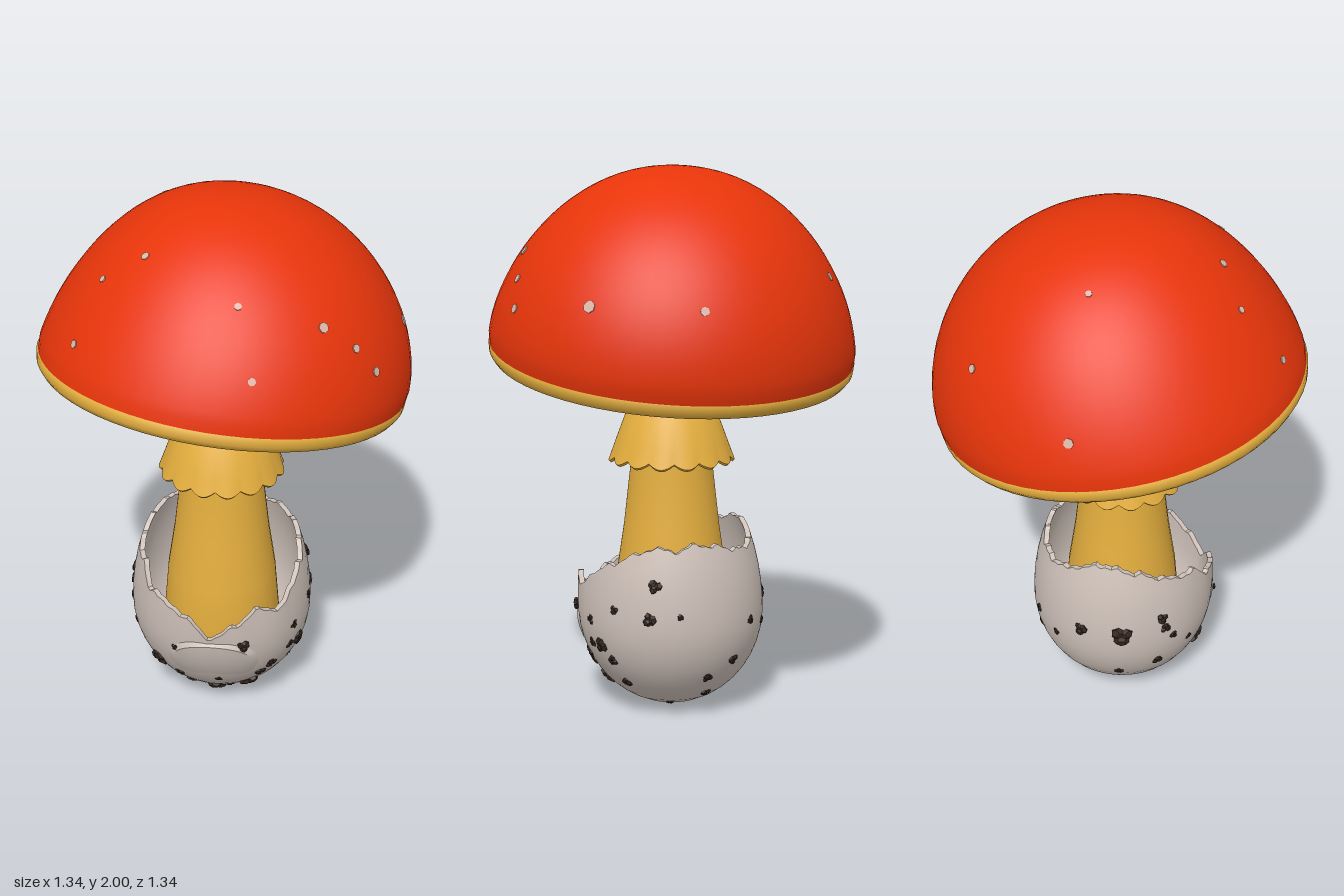
import * as THREE from 'three';
import { toCreasedNormals } from 'three/addons/utils/BufferGeometryUtils.js';

const mat = (name, color, side = THREE.FrontSide, flatShading = false) =>
  Object.assign(new THREE.MeshStandardMaterial({ color, side, flatShading }), { name });
const V2 = (r, y) => new THREE.Vector2(r, y);
const rad = THREE.MathUtils.degToRad;

// Grid surface closed around u; fn(u, v) returns [x, y, z], u and v in 0..1
function surface(fn, nu, nv, crease = 0.6) {
  const pos = [], idx = [];
  for (let j = 0; j <= nv; j++)
    for (let i = 0; i < nu; i++) pos.push(...fn(i / nu, j / nv));
  for (let j = 0; j < nv; j++)
    for (let i = 0; i < nu; i++) {
      const a = j * nu + i, b = j * nu + (i + 1) % nu;
      idx.push(a, b, b + nu, a, b + nu, a + nu);
    }
  const g = new THREE.BufferGeometry();
  g.setAttribute('position', new THREE.Float32BufferAttribute(pos, 3));
  g.setIndex(idx);
  return toCreasedNormals(g, crease);
}
const polar = (theta, r, y) => [r * Math.sin(theta), y, r * Math.cos(theta)];

// Cap dome: height above the rim plane at radius r, and its lean at mid height
const CAP_R = 0.67, CAP_H = 0.642, CAP_LIFT = 0.035;
const domeHeight = r => CAP_LIFT + CAP_H * Math.pow(Math.max(0, 1 - (r / CAP_R) ** 2.15), 0.62);
const lean = h => 0.17 * Math.max(0, h) * (CAP_H + CAP_LIFT - h);

// Cup: radius at height y, and torn rim height every 15 degrees from the front
const cupRadius = y => y < 0.36
  ? 0.342 * Math.sqrt(Math.max(0, 1 - ((0.36 - y) / 0.36) ** 2))
  : 0.342 - 0.58 * (y - 0.36) ** 2;
const RIM = [.39, .45, .50, .47, .54, .58, .62, .65, .64, .66, .65, .63,
  .62, .63, .66, .69, .68, .66, .63, .60, .59, .52, .50, .46];
function rimHeight(u) {
  const f = u * 24, i = Math.floor(f) % 24, t = f - Math.floor(f);
  const a = u * Math.PI * 2;
  return THREE.MathUtils.lerp(RIM[i], RIM[(i + 1) % 24], t * t * (3 - 2 * t))
    + 0.005 * Math.sin(17 * a) + 0.004 * Math.sin(41 * a);
}

export function createModel() {
  const root = new THREE.Group();
  const red = mat('cap red', 0xe8350a);
  const yellow = mat('stem yellow', 0xe4ae3e);
  const gillMat = mat('gill yellow', 0xe4c468, THREE.DoubleSide);
  const cupMat = mat('cup grey', 0xcdc0b8);
  const spotMat = mat('spot pale', 0xdcb5a6);
  const wartMat = mat('wart brown', 0x35261e, THREE.FrontSide, true);
  const add = (parent, name, geo, material) => {
    const m = new THREE.Mesh(geo, material);
    m.name = name;
    parent.add(m);
    return m;
  };

  // Tilted cap
  const cap = new THREE.Group();
  cap.name = 'cap';
  cap.position.y = 1.325;
  const up = new THREE.Vector3(0, 1, 0);
  cap.quaternion.setFromUnitVectors(up, new THREE.Vector3(0.12, 1, -0.14).normalize());
  root.add(cap);

  // Dome, leaning slightly at mid height
  add(cap, 'capDome', surface((u, v) => {
    const t = (1 - v) * Math.PI / 2, r = CAP_R * Math.sin(t);
    const h = v === 0 ? 0.016 : domeHeight(r);
    const [x, y, z] = polar(u * Math.PI * 2, v === 0 ? 0.666 : r, h);
    return [x + lean(h), y, z - 0.5 * lean(h)];
  }, 64, 24), red);

  const lip = [[.59, .03], [.604, -.012], [.625, -.032], [.652, -.032], [.666, -.012], [.669, .018], [.65, .035]];
  add(cap, 'capLip', new THREE.LatheGeometry(lip.map(p => V2(...p)), 64), yellow);

  // Underside and radial gills
  const under = [[.1, .1], [.25, .085], [.45, .05], [.61, .005]];
  add(cap, 'capUnderside', new THREE.LatheGeometry(under.map(p => V2(...p)), 64), gillMat);
  const fin = new THREE.Shape();
  fin.moveTo(0.12, 0.042);
  fin.quadraticCurveTo(0.4, 0.045, 0.608, -0.022);
  fin.lineTo(0.615, 0.01);
  fin.lineTo(0.45, 0.06);
  fin.lineTo(0.12, 0.11);
  const finGeo = new THREE.ExtrudeGeometry(fin, { depth: 0.008, bevelEnabled: false, curveSegments: 5 });
  finGeo.translate(0, 0, -0.004);
  const gills = new THREE.Group();
  gills.name = 'gills';
  cap.add(gills);
  for (let i = 0; i < 80; i++)
    add(gills, 'gill', finGeo, gillMat).rotation.y = (i / 80) * Math.PI * 2;

  // Small pale spots on the cap: x, z, size
  const spots = [
    [-.38, .26, .013], [-.23, .27, .015], [-.23, -.24, .012], [.10, .45, .013], [.38, .39, .019],
    [.49, .35, .016], [-.46, .38, .015], [-.06, -.60, .016], [.16, .585, .014], [.645, -.03, .022],
    [.52, -.40, .016], [-.46, -.43, .018], [.56, .32, .017]];
  const zAxis = new THREE.Vector3(0, 0, 1);
  for (const [x, z, size] of spots) {
    let h = 0.4, px = x, pz = z, r = 0;
    for (let k = 0; k < 5; k++) {
      px = x - 0.12 * h - lean(h);
      pz = z + 0.14 * h + 0.5 * lean(h);
      r = Math.hypot(px, pz);
      const s = Math.min(1, 0.655 / r);
      px *= s; pz *= s; r *= s;
      h = domeHeight(r);
    }
    const slope = (domeHeight(r - 0.005) - domeHeight(r + 0.005)) / 0.01;
    const n = new THREE.Vector3(px / r * slope, 1, pz / r * slope).normalize();
    const spot = add(cap, 'capSpot', new THREE.CylinderGeometry(size, size, 0.006, 7), spotMat);
    spot.position.set(px + lean(h), h, pz - 0.5 * lean(h));
    spot.quaternion.setFromUnitVectors(up, n);
  }

  // Stem
  const stem = [[0, .08], [.2, .1], [.222, .3], [.205, .5], [.178, .68], [.15, .93], [.142, 1.15], [.136, 1.44]];
  add(root, 'stem', new THREE.LatheGeometry(stem.map(p => V2(...p)), 32), yellow);

  // Skirt with scalloped edge: inner wall down, then outer wall up
  const skirtPath = [[.135, 1.14], [.185, 1.0], [.210, .945], [.222, .928], [.230, .935], [.208, .995], [.156, 1.135], [.14, 1.155]];
  add(root, 'skirt', surface((u, v) => {
    const a = u * Math.PI * 2, [r, y] = skirtPath[Math.round(v * 7)];
    const edge = THREE.MathUtils.clamp((1.0 - y) / 0.07, 0, 1);
    const wave = Math.abs(Math.sin(7.5 * a));
    return polar(a, r + edge * (wave - 0.6) * 0.012, y - edge * (wave - 0.5) * 0.02);
  }, 120, 7, 0.8), yellow);

  // Torn cup: outer wall up to the rim, inner wall back down
  add(root, 'cup', surface((u, v) => {
    const row = Math.round(v * 29), outer = row < 15;
    const s = outer ? row / 14 : (29 - row) / 14;
    const a = u * Math.PI * 2, top = rimHeight(u);
    const y = top * (1 - Math.cos(s * Math.PI / 2)) * 0.6 + top * s * 0.4;
    const flare = 0.02 * Math.max(0, Math.cos(a)) * s ** 3;
    const r = cupRadius(y) + flare - (outer ? 0 : 0.02);
    return polar(a, Math.max(0, r), outer ? y : y + 0.015 * (1 - s));
  }, 144, 29), cupMat);

  // Loose flap lying over the front of the cup, merging into it below
  add(root, 'cupFlap', surface((u, v) => {
    const a = u * Math.PI * 2, k = 1 - v;
    const y = 0.25 + 0.135 * k * Math.sin(a);
    const lift = 0.028 * THREE.MathUtils.clamp((y - 0.17) / 0.2, -0.2, 1);
    return polar(0.55 * k * Math.cos(a), cupRadius(y) + lift * (v === 0 ? 0.2 : 1), y);
  }, 36, 6), cupMat);

  // Dark warts on the cup: angle from the front, height, size
  const warts = [
    [-90, .46, .024], [-68, .30, .016], [-46, .19, .042], [-28, .15, .022], [-23, .33, .013], [-32, .06, .024],
    [0, .07, .038], [4, .16, .016], [33, .10, .04], [19, .36, .025], [36, .17, .025], [43, .21, .027],
    [57, .27, .022], [58, .36, .023], [107, .52, .028], [80, .42, .019], [104, .40, .027], [67, .27, .032],
    [75, .22, .023], [79, .13, .023], [145, .16, .021], [123, .41, .013], [115, .03, .015], [175, .36, .018],
    [163, .22, .022], [153, .08, .021], [-117, .41, .044], [-144, .41, .028], [-88, .41, .022], [-82, .36, .018],
    [-164, .33, .016], [-119, .19, .02], [-92, .24, .022], [18, .04, .024]];
  const wartGeo = new THREE.DodecahedronGeometry(1, 0);
  warts.forEach(([deg, y, size], i) => {
    const a = rad(deg), r = cupRadius(y) + (Math.abs(deg) < 25 && y > 0.3 ? 0.022 : 0);
    const n = new THREE.Vector3(...polar(a, r, y - 0.36)).normalize();
    const cluster = new THREE.Group();
    cluster.name = 'wart';
    cluster.position.set(...polar(a, r, y));
    cluster.quaternion.setFromUnitVectors(zAxis, n);
    root.add(cluster);
    // Each wart is a few flattened lumps
    for (let k = 0; k < 3; k++) {
      const t = i * 1.7 + k * 2.1;
      const lump = add(cluster, 'wartLump', wartGeo, wartMat);
      lump.position.set(Math.cos(t) * size * 0.4, Math.sin(t) * size * 0.4, 0);
      lump.scale.set(size * 0.65, size * (0.5 + 0.1 * k), size * 0.4);
      lump.rotation.z = t;
    }
  });

  return root;
}
